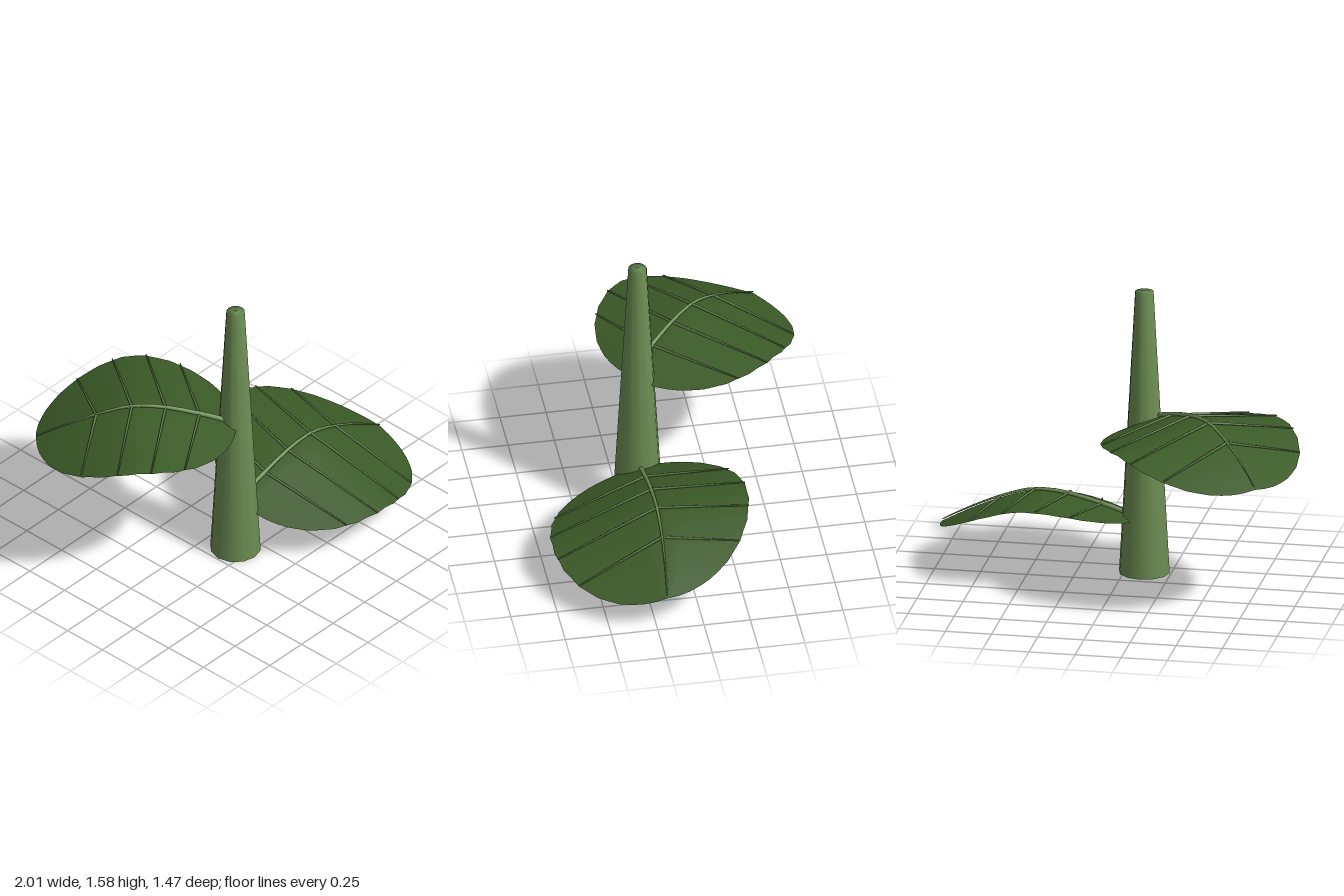
import * as THREE from 'three';

const stemGreen = new THREE.MeshStandardMaterial({ color: 0x6f9055 });
stemGreen.name = 'stemGreen';
const leafGreen = new THREE.MeshStandardMaterial({ color: 0x3b5a27, side: THREE.DoubleSide });
leafGreen.name = 'leafGreen';
const veinGreen = new THREE.MeshStandardMaterial({ color: 0x5c7a45 });
veinGreen.name = 'veinGreen';

const RADIUS = 0.53;

// Arched height of the midrib along the leaf (local x from stem to tip)
const arch = new THREE.SplineCurve([
  [-0.57, 0.275], [-0.46, 0.33], [-0.21, 0.405], [-0.04, 0.43], [0.08, 0.42],
  [0.24, 0.365], [0.4, 0.29], [0.56, 0.2],
].map(([x, y]) => new THREE.Vector2(x, y))).getPoints(80);

function archHeight(x) {
  let i = 1;
  while (i < arch.length - 1 && arch[i].x < x) i++;
  const a = arch[i - 1], b = arch[i];
  return THREE.MathUtils.lerp(a.y, b.y, (x - a.x) / (b.x - a.x));
}

// Slight sideways bend of the midrib
const bend = (x) => -0.035 + 0.035 * Math.max(0, x / 0.54) ** 2;

// Tube along a curve that narrows from r0 to r1
function taperedTube(points, r0, r1, material, name) {
  const curve = new THREE.CatmullRomCurve3(points);
  const n = 14, sides = 6;
  const geo = new THREE.TubeGeometry(curve, n, r0, sides, false);
  const pos = geo.attributes.position;
  const v = new THREE.Vector3();
  for (let i = 0; i <= n; i++) {
    const c = curve.getPointAt(i / n);
    const k = THREE.MathUtils.lerp(1, r1 / r0, i / n);
    for (let j = 0; j <= sides; j++) {
      const id = i * (sides + 1) + j;
      v.fromBufferAttribute(pos, id).sub(c).multiplyScalar(k).add(c);
      pos.setXYZ(id, v.x, v.y, v.z);
    }
  }
  const mesh = new THREE.Mesh(geo, material);
  mesh.name = name;
  return mesh;
}

// Round leaf; slopes give the fall of the blade on each side of the midrib
function makeLeaf(name, slopeMinus, slopePlus) {
  const leaf = new THREE.Group();
  leaf.name = name;
  const surface = (x, z) => {
    const d = z - bend(x);
    return archHeight(x) - 0.01 - Math.abs(d) * (d < 0 ? slopeMinus : slopePlus);
  };

  // Blade built from cross-sections along the midrib, with a faintly toothed rim
  const rows = 26, half = 6, cols = half * 2;
  const position = [], index = [];
  for (let i = 0; i <= rows; i++) {
    const a = (Math.PI * i) / rows;
    const x = 0.005 - 0.535 * Math.cos(a);
    const w = i === rows ? 0 : (RADIUS - (i % 2) * 0.006) * Math.sin(a);
    const mid = i === rows ? 0 : THREE.MathUtils.clamp(bend(x), -w, w);
    for (let j = 0; j <= cols; j++) {
      const t = j / half - 1;
      const z = mid + (t < 0 ? -t * (-w - mid) : t * (w - mid));
      position.push(x, surface(x, z), z);
      if (i < rows && j < cols) {
        const p = i * (cols + 1) + j, q = p + cols + 1;
        index.push(p, p + 1, q, p + 1, q + 1, q);
      }
    }
  }
  const geo = new THREE.BufferGeometry();
  geo.setAttribute('position', new THREE.Float32BufferAttribute(position, 3));
  geo.setIndex(index);
  geo.computeVertexNormals();
  const blade = new THREE.Mesh(geo, leafGreen);
  blade.name = 'blade';
  leaf.add(blade);

  // Midrib
  const rib = [];
  for (let i = 0; i <= 12; i++) {
    const x = -0.56 + (1.095 * i) / 12;
    rib.push(new THREE.Vector3(x, archHeight(x), bend(x)));
  }
  leaf.add(taperedTube(rib, 0.015, 0.003, stemGreen, 'midrib'));

  // Paired side veins running from midrib to rim
  for (const x0 of [-0.33, -0.15, 0.03, 0.22]) {
    for (const side of [-1, 1]) {
      const x1 = x0 + 0.09;
      const z0 = bend(x0), z1 = side * Math.sqrt(RADIUS ** 2 - x1 ** 2);
      const pts = [];
      for (let k = 0; k <= 6; k++) {
        const x = THREE.MathUtils.lerp(x0, x1, k / 6);
        const z = THREE.MathUtils.lerp(z0, z1, k / 6);
        pts.push(new THREE.Vector3(x, surface(x, z) + 0.006, z));
      }
      leaf.add(taperedTube(pts, 0.008, 0.004, veinGreen, 'sideVein'));
    }
  }
  return leaf;
}

export function createModel() {
  const model = new THREE.Group();
  model.name = 'plantStem';

  // Tapered stem with closed, softly shaded ends
  const profile = [[0, 0], [0.137, 0], [0.05, 1.575], [0, 1.58]];
  const stem = new THREE.Mesh(
    new THREE.LatheGeometry(profile.map(([r, y]) => new THREE.Vector2(r, y)), 12), stemGreen);
  stem.name = 'stem';
  stem.position.set(-0.105, 0, 0.165);
  model.add(stem);

  // Lower leaf, rolled toward the front
  const lower = makeLeaf('lowerLeaf', -0.08, 0.34);
  lower.position.set(0.46, 0, 0.2);
  model.add(lower);

  // Upper leaf, pointing back and to the other side
  const upper = makeLeaf('upperLeaf', 0.15, 0.15);
  upper.position.set(-0.475, 0.56, -0.205);
  upper.rotation.y = 2.335;
  model.add(upper);

  return model;
}
